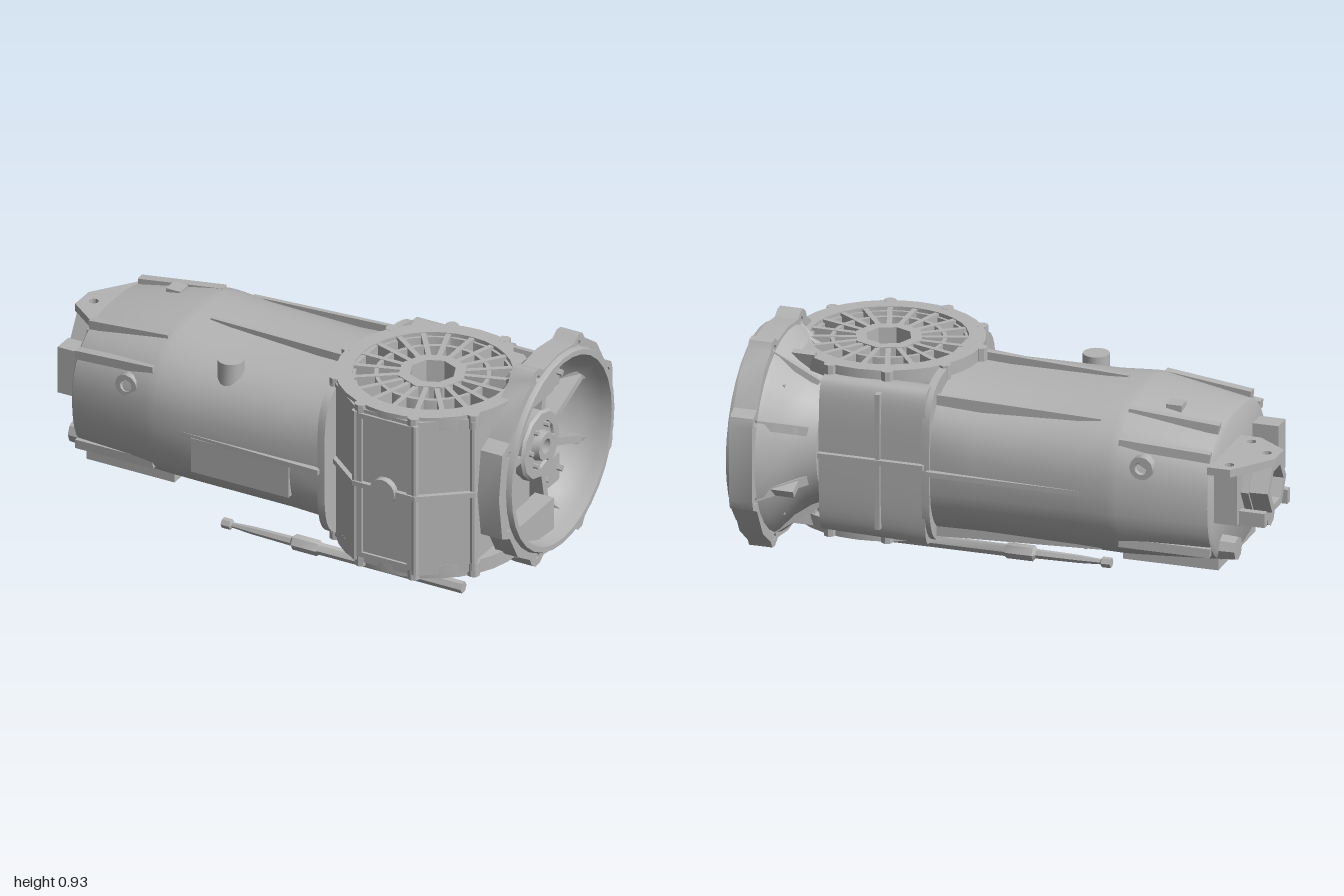
import * as THREE from 'three';
import { toCreasedNormals } from 'three/addons/utils/BufferGeometryUtils.js';

const castMetal = new THREE.MeshStandardMaterial({ color: 0xb4b4b4, side: THREE.DoubleSide });
castMetal.name = 'castMetal';
const V = (x, y, z) => new THREE.Vector3(x, y, z);
const polar = (r, a) => [r * Math.cos(a), r * Math.sin(a)];
const points = list => list.map(p => new THREE.Vector2(...p));
const circle = (x, y, r) => new THREE.Path().absarc(x, y, r, 0, Math.PI * 2, true);

// Casing stations along x: x, centre y, centre z, half height, half depth, roundness
const casing = [
  [-0.8, 0.48, 0.06, 0.265, 0.31, 0.8], [-0.79, 0.48, 0.06, 0.28, 0.325, 0.8], [-0.46, 0.505, 0.052, 0.312, 0.382, 0.8],
  [-0.42, 0.505, 0.052, 0.312, 0.385, 0.8], [-0.28, 0.5, 0.056, 0.306, 0.382, 0.8],
  [0.1, 0.5, 0.06, 0.298, 0.376, 0.75], [0.29, 0.505, 0.062, 0.298, 0.37, 0.65],
];
const signedPow = (v, e) => Math.sign(v) * Math.abs(v) ** e;

function sectionPoint([x, y, z, hy, hz, e], a, out = 0) {
  return V(x, y + (hy + out) * signedPow(Math.sin(a), e), z + (hz + out) * signedPow(Math.cos(a), e));
}

// Point on the casing skin at a given x and angle, pushed outward
function skin(x, deg, out = 0) {
  let i = 0;
  while (i < casing.length - 2 && casing[i + 1][0] < x) i++;
  const t = (x - casing[i][0]) / (casing[i + 1][0] - casing[i][0]);
  const s = casing[i].map((v, k) => v + (casing[i + 1][k] - v) * t);
  return sectionPoint(s, deg * Math.PI / 180, out);
}

// Skin through superellipse sections, with closed ends and optional gaps
function loft(stations, skip = () => false) {
  const N = 40, pos = [], idx = [];
  for (const s of stations)
    for (let j = 0; j < N; j++) pos.push(...sectionPoint(s, j / N * 2 * Math.PI).toArray());
  for (let i = 0; i < stations.length - 1; i++)
    for (let j = 0; j < N; j++) {
      if (skip(i, j)) continue;
      const k = (j + 1) % N, a = i * N + j, b = i * N + k;
      idx.push(a, a + N, b, b, a + N, b + N);
    }
  const last = (stations.length - 1) * N, c = stations.length * N;
  for (const s of [stations[0], stations.at(-1)]) pos.push(s[0], s[1], s[2]);
  for (let j = 0; j < N; j++) {
    const k = (j + 1) % N;
    idx.push(c, j, k, c + 1, last + k, last + j);
  }
  const g = new THREE.BufferGeometry();
  g.setAttribute('position', new THREE.Float32BufferAttribute(pos, 3));
  g.setIndex(idx);
  return g;
}

export function createModel() {
  const model = new THREE.Group();
  model.name = 'transmissionHousing';
  const add = (name, geo, x = 0, y = 0, z = 0) => {
    const m = new THREE.Mesh(toCreasedNormals(geo, 0.6), castMetal);
    m.name = name;
    m.position.set(x, y, z);
    model.add(m);
    return m;
  };
  const box = (name, x0, x1, y0, y1, z0, z1) => add(name, new THREE.BoxGeometry(x1 - x0, y1 - y0, z1 - z0),
    (x0 + x1) / 2, (y0 + y1) / 2, (z0 + z1) / 2);
  const bar = (name, a, b, w, h) => {
    const m = add(name, new THREE.BoxGeometry(w, h, a.distanceTo(b)));
    m.position.copy(a).add(b).multiplyScalar(0.5);
    m.lookAt(b);
  };
  const lathe = (pts, n) => new THREE.LatheGeometry(points(pts), n);
  // Turned part along x; points are [x, radius]
  const turnedX = (name, pts, n, y, z) =>
    add(name, lathe(pts.map(([x, r]) => [r, x]), n).rotateZ(-Math.PI / 2), 0, y, z);
  const extrude = (shape, depth) =>
    new THREE.ExtrudeGeometry(shape, { depth, bevelEnabled: false, curveSegments: 12 });

  // Main casing with a rectangular opening underneath
  add('mainCasing', loft(casing, (i, j) => i === 4 && j >= 27 && j < 33));
  box('openingFloor', -0.28, 0.1, 0.33, 0.34, -0.15, 0.26);
  for (const x of [-0.285, 0.1]) box('openingWall', x, x + 0.01, 0.215, 0.34, -0.15, 0.26);
  for (const z of [-0.155, 0.255]) box('openingWall', -0.28, 0.1, 0.225, 0.34, z, z + 0.01);
  box('bottomPan', -0.79, -0.42, 0.192, 0.25, -0.14, 0.28);
  box('sidePad', -0.26, 0.15, 0.36, 0.5, 0.37, 0.443);
  box('topPad', -0.63, -0.57, 0.72, 0.8, -0.09, -0.03);

  // Long reinforcing ribs and short ribs on the tapered rear
  for (const d of [85, 131, -131, -85])
    bar('longRib', skin(-0.36, d, -0.02), skin(0.28, d, 0.005), 0.018, 0.05);
  for (const d of [0, 180]) bar('sideRib', skin(-0.32, d, -0.02), skin(0.28, d, 0.003), 0.04, 0.02);
  for (const d of [35, 62, 118, 145, 215, 325])
    bar('taperRib', skin(-0.79, d, 0.01), skin(-0.45, d, -0.01), 0.035, 0.035);

  // Filler boss and side plugs
  add('fillerBoss', new THREE.CylinderGeometry(0.05, 0.05, 0.13, 16), -0.16, 0.735, 0.32);
  for (const s of [-1, 1]) {
    const g = lathe([[0.045, -0.07], [0.045, 0.04], [0.025, 0.04], [0.02, 0.02], [0, 0.02]], 12);
    add('sidePlug', g.rotateX(s * Math.PI / 2), -0.55, 0.625, s > 0 ? 0.373 : -0.275);
  }
  add('drumPlug', new THREE.CylinderGeometry(0.052, 0.052, 0.08, 16).rotateX(Math.PI / 2), 0.575, 0.525, 0.46);

  // Eight-sided hollow differential case
  const cx = 0.575, cz = 0.118, bore = 0.087;
  const plan = [[0.125, 0.355], [0.295, 0.22], [0.295, -0.2], [0.125, -0.3]];
  const outline = [...plan, ...plan.map(([x, z]) => [-x, z]).reverse()];
  const caseShape = new THREE.Shape(points(outline));
  caseShape.holes.push(circle(0, 0, 0.285));
  add('differentialCase', extrude(caseShape, 0.64).rotateX(Math.PI / 2), cx, 0.835, cz);
  for (const [x, z] of plan.slice(0, 2)) for (const s of [-1, 1])
    add('casePost', new THREE.CylinderGeometry(0.014, 0.014, 0.62, 8), cx + s * x, 0.515, cz + z);

  // Ribbed top and bottom covers, each with a sunken floor, around a through bore
  const ring = (name, r0, r1, y0, y1, n = 32) =>
    add(name, lathe([[r0, y0], [r1, y0], [r1, y1], [r0, y1], [r0, y0]], n), cx, 0, cz);
  ring('boreTube', bore, 0.13, 0.178, 0.85, 8);
  for (const [y0, floor] of [[0.795, 0.76], [0.178, 0.26]]) {
    ring('coverRim', 0.295, 0.358, y0, y0 + 0.055);
    ring('coverRing', 0.2, 0.215, y0 + 0.003, y0 + 0.05);
    ring('coverFloor', 0.1, 0.29, floor, floor + 0.01);
  }
  for (let i = 0; i < 20; i++) {
    const a = i / 20 * 2 * Math.PI, [ux, uz] = polar(1, a);
    const at = (r, y) => V(cx + r * ux, y, cz + r * uz);
    bar('topSpoke', at(0.12, 0.807), at(0.3, 0.807), 0.02, 0.08);
    if (i % 2) continue;
    bar('bottomSpoke', at(0.12, 0.22), at(0.3, 0.22), 0.045, 0.08);
    for (const y of [0.205, 0.823]) {
      const p = at(0.358, y);
      add('coverBolt', new THREE.CylinderGeometry(0.024, 0.024, 0.055, 8), p.x, p.y, p.z);
    }
  }

  // Front panel frame, horizontal girdle, joint flange and block behind the case
  for (const x of [0.46, 0.67]) box('panelPost', x, x + 0.02, 0.22, 0.82, 0.42, 0.483);
  for (const y of [0.22, 0.8]) box('panelRail', 0.46, 0.69, y, y + 0.02, 0.42, 0.483);
  const girdle = new THREE.Shape(points(outline.map(([x, z]) => [x * 1.05, z * 1.05])));
  girdle.holes.push(circle(0, 0, 0.285));
  add('caseGirdle', extrude(girdle, 0.02).rotateX(Math.PI / 2), cx, 0.535, cz);
  add('jointFlange', loft([[0.27, 0.515, 0.062, 0.33, 0.378, 0.45], [0.3, 0.515, 0.062, 0.33, 0.378, 0.45]]));
  add('rearBlock', loft([[0.29, 0.51, -0.24, 0.305, 0.07, 0.5], [0.7, 0.515, -0.24, 0.3, 0.07, 0.5]]));
  box('rearGirdle', 0.29, 0.78, 0.515, 0.535, -0.33, -0.18);
  box('rearRib', 0.46, 0.48, 0.26, 0.79, -0.322, -0.2);

  // Bell housing: open shell with buttresses
  const by = 0.525, bz = -0.1;
  turnedX('bellShell', [[0.7, 0.06], [0.7, 0.24], [0.76, 0.27], [0.82, 0.315], [0.87, 0.37], [0.9, 0.392], [0.98, 0.392],
    [1, 0.385], [1, 0.365], [0.96, 0.36], [0.88, 0.345], [0.83, 0.3], [0.77, 0.25], [0.72, 0.23], [0.72, 0.06]], 32, by, bz);

  // Flange outline, mirrored top to bottom, with eight bolt holes
  const upper = [[-0.42, 0.175], [-0.363, 0.2], [-0.303, 0.305], [-0.213, 0.36], [-0.2, 0.387], [-0.172, 0.408],
    [-0.14, 0.406], [-0.11, 0.386], [0, 0.4], [0.115, 0.386], [0.15, 0.408], [0.18, 0.403], [0.197, 0.375],
    [0.287, 0.31], [0.352, 0.2], [0.396, 0.18], [0.407, 0.145]];
  const flange = new THREE.Shape(points([[-0.445, 0], ...upper, ...upper.map(([u, v]) => [u, -v]).reverse()]));
  flange.holes.push(circle(0, 0, 0.37));
  for (let i = 0; i < 8; i++) {
    const a = (i + 0.5) * Math.PI / 4, [u, v] = polar(0.4, a);
    flange.holes.push(circle(u, v, 0.013));
    const at = (x, r) => V(x, by + r * Math.sin(a), bz - r * Math.cos(a));
    bar('bellButtress', at(0.74, 0.25), at(0.91, 0.375), 0.035, 0.035);
  }
  add('bellFlange', extrude(flange, 0.09).rotateY(Math.PI / 2), 0.89, by, bz);

  // Arched walls inside the bell, above and below the differential case
  for (const s of [-1, 1]) {
    const arch = new THREE.Shape(points([[0.03, 0.225], [0.03, 0.355], [-0.09, 0.345], [-0.19, 0.302], [-0.272, 0.225]]
      .map(([u, v]) => [u, s * v])));
    add('bellArch', extrude(arch, 0.08).rotateY(Math.PI / 2), 0.865, by, bz);
  }

  // Input hub with stepped collars, bolts, radial webs and pads inside the bell
  turnedX('inputHub', [[0.7, 0.14], [0.9, 0.14], [0.91, 0.13], [0.91, 0.095], [0.9, 0.09], [0.9, 0.06], [0.93, 0.055],
    [0.93, 0.03], [0.72, 0.025]], 12, by, bz);
  for (let i = 0; i < 6; i++) {
    const [u, v] = polar(0.08, i * Math.PI / 3);
    add('hubBolt', new THREE.CylinderGeometry(0.01, 0.01, 0.03, 6).rotateZ(Math.PI / 2), 0.905, by + v, bz + u);
  }
  for (const d of [78, 22, -22, -78, 180]) {
    const [u, v] = polar(1, d * Math.PI / 180);
    const rEnd = d === 180 ? 0.27 : 0.345, mid = (rEnd + 0.12) / 2;
    const web = add('bellWeb', new THREE.BoxGeometry(0.14, 0.028, rEnd - 0.12), 0.83, by + v * mid, bz - u * mid);
    web.rotation.x = d * Math.PI / 180;
  }
  for (const s of [-1, 1]) {
    const y = by + s * 0.2;
    box('bellPad', 0.83, 0.865, y - 0.055, y + 0.055, -0.315, -0.17);
    for (const z of [-0.2, -0.3])
      add('padBolt', new THREE.CylinderGeometry(0.014, 0.014, 0.03, 4).rotateZ(Math.PI / 2), 0.87, y, z);
  }

  // Tail: end block, output collar, bolted top plate and mounting lugs
  box('tailBlock', -0.89, -0.79, 0.41, 0.62, -0.22, 0.1);
  turnedX('outputCollar', [[-0.8, 0.12], [-0.92, 0.12], [-0.92, 0.11], [-0.99, 0.105], [-0.99, 0.075], [-0.9, 0.07],
    [-0.9, 0]], 6, 0.525, -0.06);
  const plate = new THREE.Shape(points(
    [[-0.79, -0.27], [-0.88, -0.27], [-1, -0.11], [-1, -0.01], [-0.88, 0.08], [-0.79, 0.08]]));
  for (const [x, z] of [[-0.86, -0.22], [-0.95, -0.06], [-0.86, 0.03]]) plate.holes.push(circle(x, z, 0.018));
  add('tailPlate', extrude(plate, 0.03).rotateX(Math.PI / 2), 0, 0.645, 0);
  for (const z of [-0.2, 0.06]) box('tailCheek', -0.99, -0.88, 0.405, 0.46, z, z + 0.03);
  box('tailFoot', -0.9, -0.79, 0.4, 0.44, -0.2, 0.09);
  for (const [y, z] of [[0.28, 0.25], [0.28, -0.12]])
    add('tailLug', new THREE.CylinderGeometry(0.045, 0.05, 0.08, 8).rotateZ(Math.PI / 2), -0.82, y, z);
  box('tailEar', -0.9, -0.78, 0.45, 0.64, 0.22, 0.3);

  // Separate stepped shaft lying below the housing
  turnedX('looseShaft', [[-0.26, 0], [-0.26, 0.02], [-0.225, 0.02], [-0.22, 0.01], [-0.14, 0.015], [0.03, 0.018], [0.04, 0.03],
    [0.14, 0.03], [0.15, 0.023], [0.75, 0.023], [0.75, 0]], 6, 0.03, 0.2);
  return model;
}
